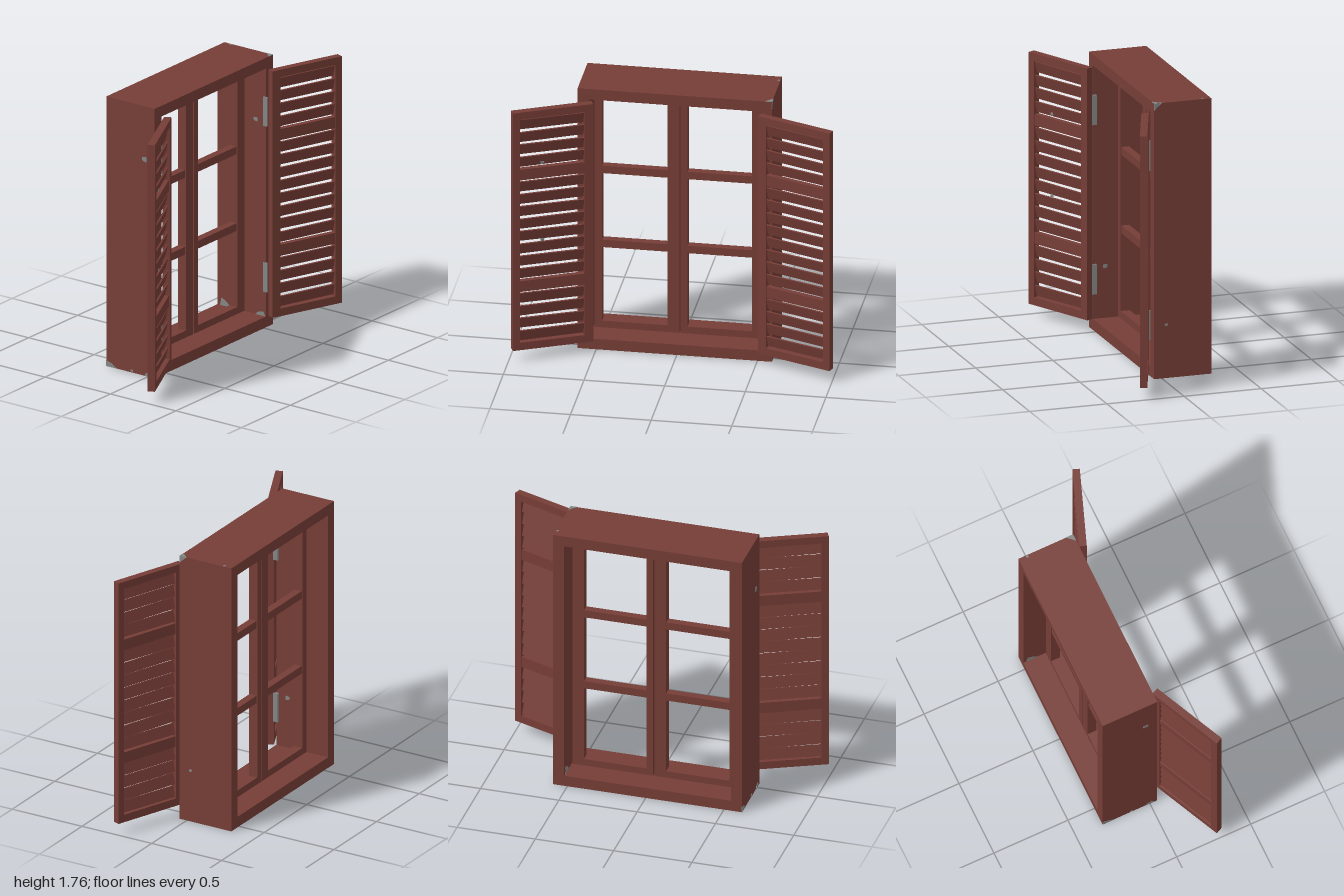
import * as THREE from 'three';

const mat = (name, color) => {
  const m = new THREE.MeshStandardMaterial({ color });
  m.name = name;
  return m;
};

export function createModel() {
  const root = new THREE.Group();
  root.name = 'shutteredWindow';
  const wood = mat('brownPaint', 0x763d36);
  const metal = mat('greyMetal', 0x848685);

  const add = (parent, name, geometry, material = wood) => {
    const mesh = new THREE.Mesh(geometry, material);
    mesh.name = name;
    parent.add(mesh);
    return mesh;
  };

  // Box given by its min and max corners
  const box = (parent, name, [x0, y0, z0], [x1, y1, z1], material) =>
    add(parent, name, new THREE.BoxGeometry(x1 - x0, y1 - y0, z1 - z0)
      .translate((x0 + x1) / 2, (y0 + y1) / 2, (z0 + z1) / 2), material);

  const rectPoints = (a0, b0, a1, b1) =>
    [[a0, b0], [a1, b0], [a1, b1], [a0, b1]].map(p => new THREE.Vector2(...p));

  // Rectangular panel in the z-y plane with rectangular openings, between x0 and x1
  const panel = (name, z0, y0, z1, y1, openings, x0, x1) => {
    const shape = new THREE.Shape(rectPoints(-z1, y0, -z0, y1));
    for (const [a, b, c, d] of openings) shape.holes.push(new THREE.Path(rectPoints(-c, b, -a, d)));
    const geo = new THREE.ExtrudeGeometry(shape, { depth: x1 - x0, bevelEnabled: false });
    geo.rotateY(Math.PI / 2).translate(x0, 0, 0);
    return add(root, name, geo);
  };

  // Deep outer casing
  panel('outerFrame', -0.59, 0, 0.615, 1.755, [[-0.52, 0.07, 0.545, 1.685]], -0.32, 0.05);

  // Two casements, each with three openings
  const rows = [[0.12, 0.615], [0.665, 1.115], [1.165, 1.63]];
  const casement = (name, z0, z1, a, b) => {
    // outer border, then slimmer glazing bars between the openings
    panel(name, z0, 0.075, z1, 1.68, [[a, 0.12, b, 1.63]], -0.17, -0.11);
    for (let i = 0; i < 2; i++)
      box(root, 'glazingBar', [-0.165, rows[i][1], a], [-0.115, rows[i + 1][0], b]);
  };
  casement('leftCasement', 0.01, 0.538, 0.085, 0.49);
  casement('rightCasement', -0.513, 0.003, -0.44, -0.04);

  // Louvred shutter; local x runs from hinge to free edge, side sets the thickness direction
  const shutter = (name, x, z, angle, length, side) => {
    const g = new THREE.Group();
    g.name = name;
    g.position.set(x, 0, z);
    g.rotation.y = angle;
    root.add(g);
    const t = 0.046, y0 = 0.075, y1 = 1.68, inner = 0.055, outer = length - 0.045;
    const slab = (part, u0, v0, u1, v1, inset = 0) => {
      const za = side * inset, zb = side * (t - inset);
      return box(g, part, [u0, v0, Math.min(za, zb)], [u1, v1, Math.max(za, zb)]);
    };
    slab('hingeStile', 0, y0, inner, y1);
    slab('outerStile', outer, y0, length, y1);
    slab('bottomRail', inner, y0, outer, 0.125);
    slab('topRail', inner, 1.632, outer, y1);

    // Eighteen slots: two hold rails, the rest hold tilted slats
    const pitch = (1.632 - 0.125) / 18;
    for (let i = 0; i < 18; i++) {
      const y = 0.125 + pitch * (i + 0.5);
      if (i === 4 || i === 13) {
        slab('middleRail', inner, y - 0.036, outer, y + 0.036, 0.006);
        continue;
      }
      const slat = add(g, 'slat', new THREE.BoxGeometry(outer - inner, 0.072, 0.01));
      slat.position.set((inner + outer) / 2, y, side * t / 2);
      slat.rotation.set(side * 0.25, 0, 0.008 * Math.sin(i * 2.7 + side));
    }
    return g;
  };
  const leftShutter = shutter('leftShutter', 0.058, 0.529, -1.13, 0.51, -1);
  const rightShutter = shutter('rightShutter', 0.063, -0.529, 1.215, 0.503, 1);

  // Hinge plates on the jamb edges
  for (const z of [-0.52, 0.545 - 0.015])
    for (const y of [0.23, 1.31])
      box(root, 'hinge', [0.03, y, z - 0.004], [0.062, y + 0.19, z + 0.006], metal);
  for (const y of [0.23, 1.31])
    box(root, 'hingeLeaf', [0.03, y, 0.539], [0.056, y + 0.19, 0.547], metal);

  // Thin patches of worn paint: polygons on a face across the z or y axis
  const chip = (axis, level, points, parent = root) => {
    const shape = new THREE.Shape(points.map(p => new THREE.Vector2(...p)));
    const geo = new THREE.ExtrudeGeometry(shape, { depth: 0.004, bevelEnabled: false });
    geo.translate(0, 0, -0.002);
    if (axis === 'y') geo.rotateX(Math.PI / 2);
    const mesh = add(parent, 'wornPatch', geo, metal);
    mesh.position[axis] = level;
  };
  const blob = (a, b, r) => Array.from({ length: 7 }, (_, i) => {
    const q = i / 7 * Math.PI * 2, k = r * (0.85 + 0.2 * Math.sin(i * 2.3));
    return [a + Math.cos(q) * k, b + Math.sin(q) * k];
  });
  chip('z', 0.615, blob(-0.028, 1.41, 0.022));
  chip('z', 0.615, [[-0.32, 0], [-0.24, 0], [-0.28, 0.025], [-0.32, 0.038]]);
  chip('z', 0.615, [[-0.03, 0], [0.04, 0], [0.015, 0.025], [-0.015, 0.022]]);
  chip('z', 0.615, blob(-0.125, 0.012, 0.011));
  chip('z', -0.59, blob(-0.028, 0.34, 0.012));
  chip('z', -0.59, [[0.05, 1.755], [0.0, 1.755], [0.03, 1.73], [0.05, 1.71]]);
  chip('z', -0.52, blob(-0.028, 1.34, 0.018));
  chip('z', -0.52, [[-0.03, 0.07], [0.045, 0.07], [0.03, 0.1], [-0.01, 0.09]]);
  chip('z', -0.52, [[-0.3, 0.07], [-0.22, 0.07], [-0.25, 0.1], [-0.29, 0.12]]);
  chip('z', 0.545, blob(-0.03, 0.4, 0.018));
  chip('y', 1.755, [[0, -0.59], [0.05, -0.59], [0.05, -0.545], [0.03, -0.565]]);
  chip('y', 1.755, blob(-0.265, -0.579, 0.01));
  chip('z', -0.033, blob(0.32, 1.32, 0.014), leftShutter);
  chip('z', -0.033, blob(0.32, 0.8, 0.014), leftShutter);
  return root;
}
